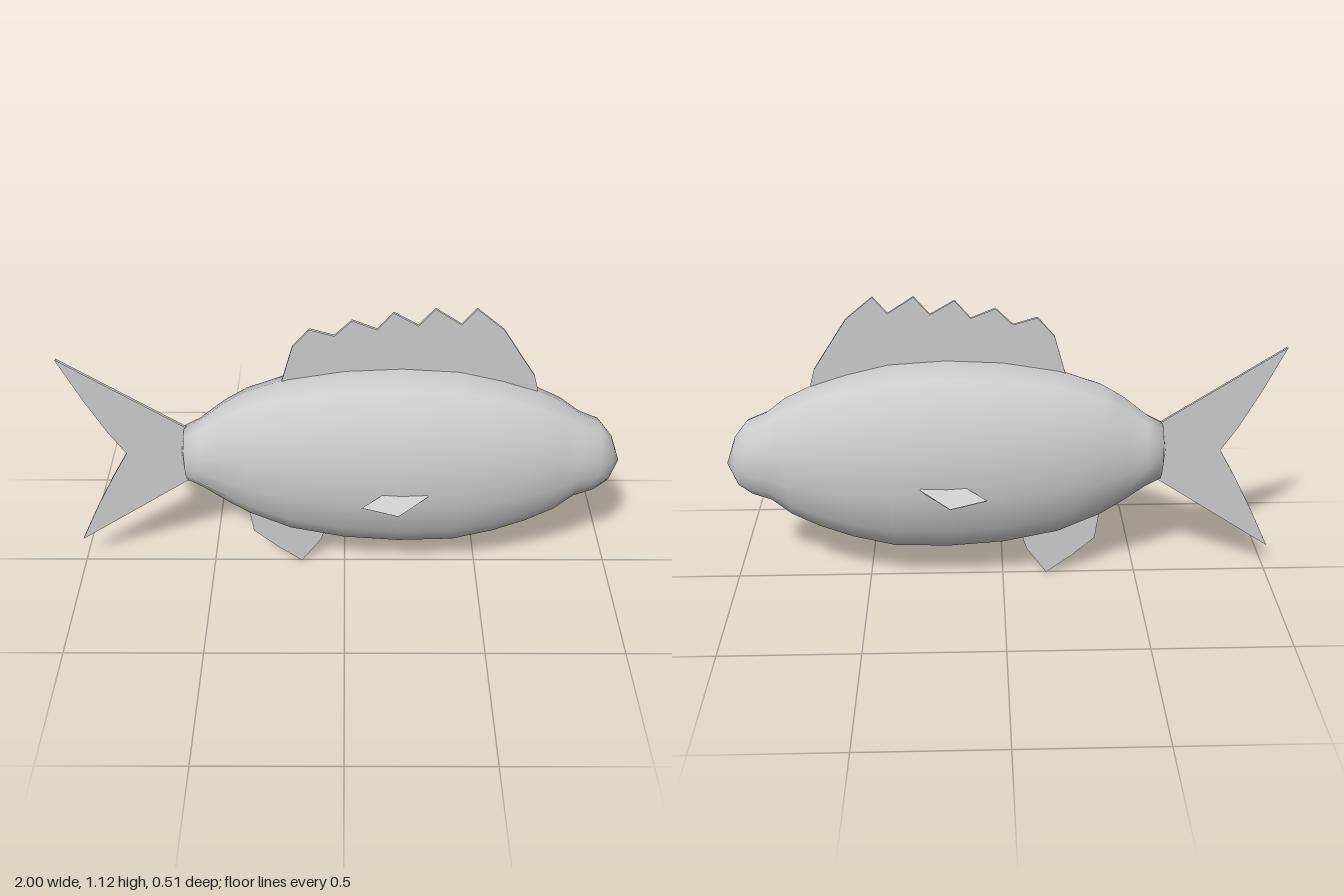
import * as THREE from 'three';

const grey = new THREE.MeshStandardMaterial({ color: 0xcccccc, side: THREE.DoubleSide });
grey.name = 'fish grey';

// Body stations from tail to nose: x, top y, bottom y, half width
const STATIONS = [
  [-0.575, 0.63, 0.41, 0.075], [-0.52, 0.66, 0.38, 0.09], [-0.43, 0.735, 0.315, 0.12],
  [-0.35, 0.785, 0.265, 0.145], [-0.2, 0.84, 0.2, 0.178], [0, 0.875, 0.16, 0.2],
  [0.2, 0.885, 0.146, 0.208], [0.4, 0.872, 0.152, 0.203], [0.55, 0.835, 0.19, 0.185],
  [0.67, 0.795, 0.235, 0.162], [0.77, 0.745, 0.285, 0.135], [0.84, 0.69, 0.345, 0.11],
  [0.91, 0.66, 0.37, 0.095], [0.96, 0.595, 0.405, 0.06],
];
const SIDES = 14;

function bodyGeometry() {
  const pos = [], index = [];
  for (const [x, top, bottom, half] of STATIONS) {
    for (let i = 0; i < SIDES; i++) {
      const a = (i / SIDES) * Math.PI * 2;
      pos.push(x, (top + bottom) / 2 + ((top - bottom) / 2) * Math.cos(a), (half / 0.975) * Math.sin(a));
    }
  }
  const tail = pos.length / 3, nose = tail + 1, last = (STATIONS.length - 1) * SIDES;
  pos.push(-0.592, 0.52, 0, 0.998, 0.488, 0);
  for (let i = 0; i < SIDES; i++) {
    const j = (i + 1) % SIDES;
    for (let r = 0; r < last; r += SIDES) {
      index.push(r + i, r + j, r + SIDES + i, r + j, r + SIDES + j, r + SIDES + i);
    }
    index.push(tail, j, i, nose, last + i, last + j);
  }
  const geo = new THREE.BufferGeometry();
  geo.setAttribute('position', new THREE.Float32BufferAttribute(pos, 3));
  // Wind every face outward
  geo.setIndex(index);
  geo.computeVertexNormals();
  return geo;
}

// A fin is two thin parallel sheets with the same outline
function fin(name, points) {
  const geo = new THREE.ShapeGeometry(new THREE.Shape(points.map(([x, y]) => new THREE.Vector2(x, y))));
  const group = new THREE.Group();
  group.name = name;
  for (const side of [1, -1]) {
    const sheet = new THREE.Mesh(geo, grey);
    sheet.name = name + 'Sheet';
    sheet.position.z = side * 0.005;
    if (side < 0) {
      // Back sheet faces the other way
      sheet.geometry = geo.clone().scale(-1, 1, 1);
      const idx = sheet.geometry.index.array;
      for (let i = 0; i < idx.length; i += 3) [idx[i], idx[i + 1]] = [idx[i + 1], idx[i]];
      sheet.rotation.y = Math.PI;
    }
    group.add(sheet);
  }
  return group;
}

export function createModel() {
  const model = new THREE.Group();
  model.name = 'fish';

  const body = new THREE.Mesh(bodyGeometry(), grey);
  body.name = 'body';
  model.add(body);

  // Spiny back fin
  model.add(fin('dorsalFin', [
    [-0.19, 0.7], [0.66, 0.7], [0.675, 0.8], [0.66, 0.855], [0.54, 1.04], [0.445, 1.12],
    [0.395, 1.06], [0.305, 1.12], [0.25, 1.055], [0.165, 1.105], [0.11, 1.04],
    [0.025, 1.075], [-0.035, 1.015], [-0.12, 1.04], [-0.18, 0.97], [-0.22, 0.83],
  ]));

  // Forked tail
  model.add(fin('tailFin', [
    [-1, 0.92], [-0.92, 0.745], [-0.85, 0.61], [-0.792, 0.518], [-0.85, 0.415], [-0.92, 0.28],
    [-1, 0.11], [-0.57, 0.4], [-0.5, 0.45], [-0.5, 0.59], [-0.57, 0.635],
  ]));

  // Small fin under the rear belly
  model.add(fin('analFin', [
    [-0.36, 0.27], [-0.345, 0.155], [-0.26, 0.077], [-0.165, 0.003], [-0.09, 0.11],
    [-0.06, 0.2], [-0.1, 0.3], [-0.33, 0.34],
  ]));

  // Side fins slope outward and down
  for (const side of [1, -1]) {
    const pectoral = fin(side > 0 ? 'pectoralFinFront' : 'pectoralFinBack',
      [[0.06, -0.04], [0.19, -0.07], [0.295, 0], [0.28, 0.02], [0.15, 0.02], [0.125, 0]]);
    pectoral.position.set(0, 0.478, side * 0.205);
    pectoral.rotation.x = -side * 0.72;
    model.add(pectoral);
  }
  return model;
}
